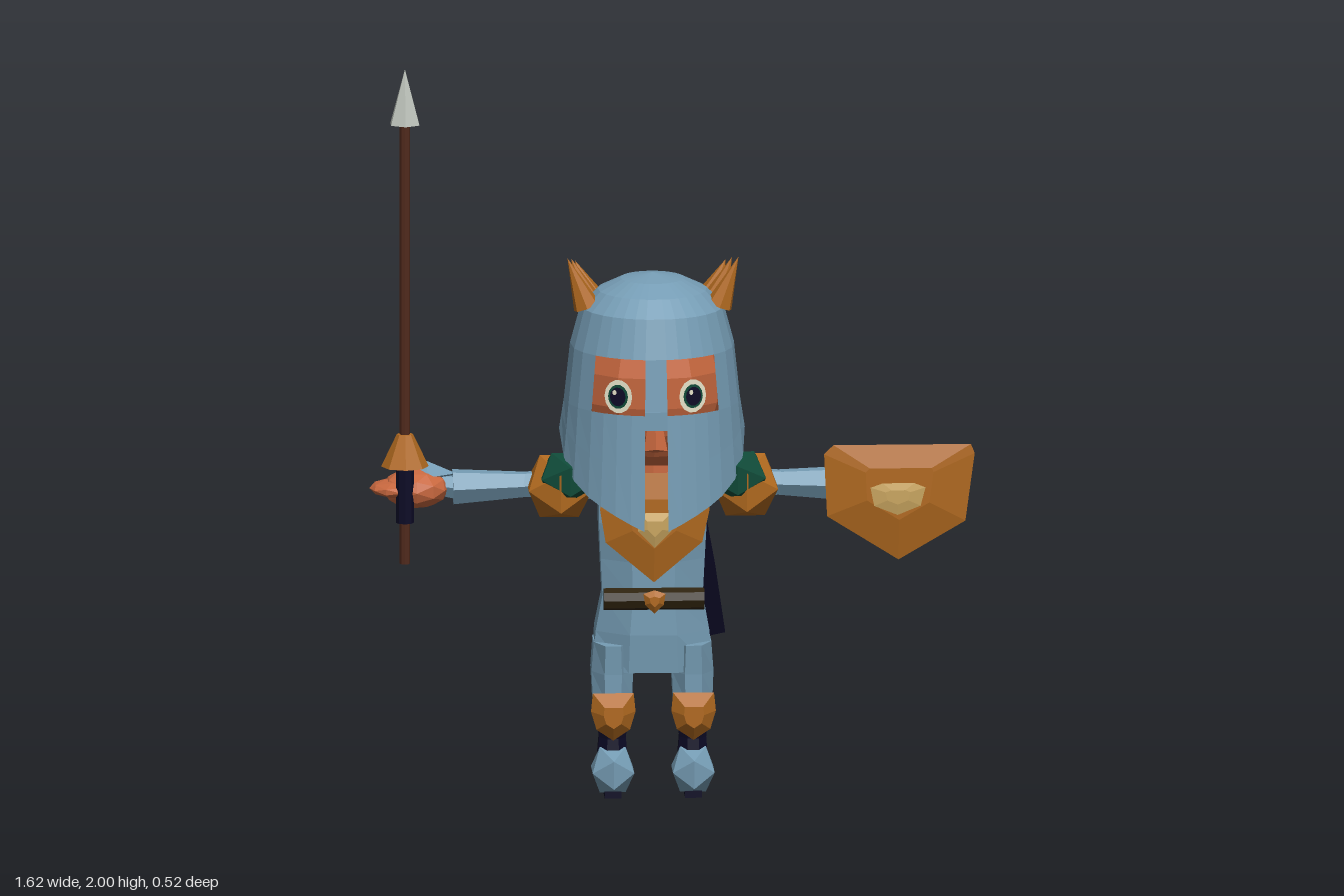
import * as THREE from 'three';

const mat = (name, color) => {
  const m = new THREE.MeshStandardMaterial({ color, flatShading: true, side: THREE.DoubleSide });
  m.name = name;
  return m;
};

export function createModel() {
  const steel = mat('steel blue', 0x769db5), bronze = mat('bronze', 0xb0691f), skin = mat('skin', 0xc8683f),
    green = mat('dark green', 0x0f4a38), navy = mat('navy', 0x0c0a26), wood = mat('wood', 0x50291c),
    leather = mat('leather', 0x2e220e), silver = mat('silver', 0xbcc2ba), tan = mat('tan', 0xcaa660),
    cream = mat('cream', 0xe9e6cc);
  const root = new THREE.Group();
  root.name = 'spearWarrior';
  const body = new THREE.Group();
  body.name = 'body';
  body.position.x = -0.055;
  root.add(body);
  const V = (x, y, z) => new THREE.Vector3(x, y, z);

  const add = (parent, name, geo, material, x = 0, y = 0, z = 0) => {
    const m = new THREE.Mesh(geo, material);
    m.name = name;
    m.position.set(x, y, z);
    parent.add(m);
    return m;
  };

  // Skins rows of points into a faceted surface
  const surface = (rows, closed, keep = () => true) => {
    const pts = [], n = rows[0].length;
    for (let j = 0; j < rows.length - 1; j++) {
      for (let i = 0; i < (closed ? n : n - 1); i++) {
        if (!keep(i, j)) continue;
        const k = (i + 1) % n;
        const a = rows[j][i], b = rows[j + 1][i], c = rows[j + 1][k], d = rows[j][k];
        if (!b.equals(c)) pts.push(a, b, c);
        if (!a.equals(d)) pts.push(a, c, d);
      }
    }
    const g = new THREE.BufferGeometry().setFromPoints(pts);
    g.computeVertexNormals();
    return g;
  };

  // Vertical loft from sections [y, centre z, half width, half depth]
  const loft = (sections, sides = 8) => {
    const s = 1 / Math.cos(Math.PI / sides);
    const ring = ([y, cz, rx, rz]) => Array.from({ length: sides }, (_, i) => {
      const a = (i + 0.5) * 2 * Math.PI / sides;
      return V(Math.sin(a) * rx * s, y, cz + Math.cos(a) * rz * s);
    });
    const top = sections[0], end = sections[sections.length - 1];
    return surface([[top[0], top[1], 0, 0], ...sections, [end[0], end[1], 0, 0]].map(ring), true);
  };

  // Thin plate bulging forward from an anticlockwise outline
  const plate = (outline, z, bulge) => {
    const c = outline.reduce((s, p) => [s[0] + p[0] / outline.length, s[1] + p[1] / outline.length], [0, 0]);
    const ring = (k, h) => outline.map(([x, y]) => V(c[0] + (x - c[0]) * k, c[1] + (y - c[1]) * k, z + h));
    return surface([ring(0, bulge), ring(0.45, bulge), ring(1, 0), ring(0, 0)], true);
  };

  // Tapered rod between two points
  const rod = (parent, name, a, b, ra, rb, material, sides = 6) => {
    const d = b.clone().sub(a);
    const m = add(parent, name, new THREE.CylinderGeometry(rb, ra, d.length(), sides), material);
    m.position.copy(a).addScaledVector(d, 0.5);
    m.quaternion.setFromUnitVectors(V(0, 1, 0), d.normalize());
    return m;
  };

  const blob = (parent, name, material, pos, size, detail = 0) => {
    const m = add(parent, name, new THREE.IcosahedronGeometry(1, detail), material, ...pos);
    m.scale.set(...size);
    return m;
  };

  // Helmet: rings down to a rim that dips at the cheeks, open at the eyes and mouth
  const half = [7.3, 16, 26, 36, 46, 60, 74, 95, 113, 130, 147, 163];
  const angles = [...half.map(a => -a).reverse(), ...half, 180];
  const rimPoints = [[0, 0.75], [7.3, 0.77], [57, 0.875], [74, 0.94], [95, 1.0], [120, 1.0], [150, 1.015], [180, 1.03]];
  const rim = a => {
    const k = Math.max(1, rimPoints.findIndex(p => p[0] >= a));
    const [p, q] = [rimPoints[k - 1], rimPoints[k]];
    return p[1] + (q[1] - p[1]) * (a - p[0]) / (q[0] - p[0]);
  };
  const levels = [[1.43, 0], [1.415, 0.09], [1.385, 0.155], [1.34, 0.203], [1.235, 0.233], [1.085, 0.25]];
  const at = (a, y, r) => V(Math.sin(a * Math.PI / 180) * r * 0.95, y, Math.cos(a * Math.PI / 180) * r - 0.005);
  const rows = levels.map(([y, r]) => angles.map(a => at(a, y, r)));
  for (const t of [0.5, 1]) {
    rows.push(angles.map(a => {
      const end = Math.abs(a) < 100 ? 0.264 : 0.264 - (Math.abs(a) - 100) / 80 * 0.055;
      return at(a, 1.085 + (rim(Math.abs(a)) - 1.085) * t, 0.25 + (end - 0.25) * t);
    }));
  }
  const mid = half.length - 1;
  add(body, 'helmet', surface(rows, true, (i, j) => {
    const off = Math.abs(i - mid);
    return !(j === 4 && off >= 1 && off <= 4) && !(j > 4 && off === 0);
  }), steel);
  add(body, 'noseGuard', new THREE.BoxGeometry(0.06, 0.05, 0.012), steel, 0, 1.07, 0.24);

  // Head, face and neck
  const head = add(body, 'head', new THREE.SphereGeometry(1, 12, 9), skin, 0, 1.13, -0.01);
  head.scale.set(0.2, 0.24, 0.19);
  add(body, 'neck', new THREE.CylinderGeometry(0.075, 0.085, 0.14, 8), skin, 0, 0.9, -0.01);
  rod(body, 'nose', V(0, 1.07, 0.17), V(0, 0.98, 0.2), 0.015, 0.032, skin, 4);

  // Torso
  add(body, 'torso', loft([[0.9, -0.01, 0.09, 0.06], [0.84, -0.01, 0.145, 0.09], [0.75, -0.01, 0.145, 0.1],
    [0.65, -0.02, 0.14, 0.1], [0.55, -0.022, 0.135, 0.1], [0.45, -0.04, 0.153, 0.12], [0.345, -0.03, 0.16, 0.1]]), steel);
  add(body, 'breastplate', plate([[-0.13, 0.9], [-0.145, 0.8], [-0.13, 0.71], [0, 0.6], [0.13, 0.71], [0.15, 0.8], [0.13, 0.9]], 0.1, 0.02), bronze);
  add(body, 'chestEmblem', plate([[-0.045, 0.8], [-0.045, 0.75], [0, 0.705], [0.045, 0.75], [0.045, 0.8]], 0.15, 0.008), tan);
  rod(body, 'belt', V(-0.135, 0.555, 0.1), V(0.135, 0.555, 0.1), 0.03, 0.03, leather, 8);
  add(body, 'buckle', plate([[-0.03, 0.575], [-0.025, 0.545], [0, 0.52], [0.025, 0.545], [0.03, 0.575], [0, 0.585]], 0.132, 0.012), bronze);

  // Cape hanging off to one side
  add(body, 'cape', surface([
    [V(0.14, 0.79, -0.1), V(0.03, 0.79, -0.12)],
    [V(0.175, 0.6, -0.145), V(0.035, 0.58, -0.19)],
    [V(0.205, 0.4, -0.2), V(0.035, 0.35, -0.265)],
  ], false), navy);

  // Mirrored parts
  for (const s of [-1, 1]) {
    const side = s < 0 ? 'right' : 'left';
    const g = new THREE.Group();
    g.name = side + 'Side';
    body.add(g);

    const eye = new THREE.Group();
    eye.name = side + 'Eye';
    eye.position.set(s * 0.1, 1.13, 0.195);
    eye.rotation.y = s * 0.35;
    g.add(eye);
    const disc = (name, r, m, x, y, z) => add(eye, name, new THREE.CircleGeometry(r, 14), m, x, y, z).scale.set(0.85, 1, 1);
    disc('eyeWhite', 0.046, cream, 0, 0, 0);
    disc('iris', 0.033, green, 0, 0, 0.003);
    disc('pupil', 0.026, navy, 0, 0, 0.006);
    disc('eyeGlint', 0.007, cream, -0.008, 0.012, 0.009);

    // Helmet spikes
    [[0.035, 1.478], [-0.045, 1.46], [-0.12, 1.438]].forEach(([z, top], i) => {
      rod(g, 'helmetSpike', V(s * (0.178 - i * 0.006), 1.345, z), V(s * (0.23 - i * 0.014), top, z * 1.04), 0.037, 0, bronze, 7);
    });

    // Shoulder and arm
    blob(g, 'shoulderGuard', bronze, [s * 0.25, 0.845, -0.005], [0.1, 0.1, 0.135]);
    blob(g, 'shoulderCloth', green, [s * 0.225, 0.88, 0.035], [0.09, 0.075, 0.1]);
    rod(g, 'upperArm', V(s * 0.12, 0.85, -0.025), V(s * 0.345, 0.845, -0.032), 0.05, 0.036, steel);
    rod(g, 'forearm', V(s * 0.34, 0.845, -0.032), V(s * 0.535, 0.84, -0.033), 0.036, 0.05, steel);
    rod(g, 'wrist', V(s * 0.53, 0.84, -0.035), V(s * 0.6, 0.845, -0.04), 0.035, 0.025, steel);
    blob(g, 'palm', skin, [s * 0.635, 0.838, -0.03], [0.09, 0.055, 0.08], 1);
    blob(g, 'fingers', skin, [s * 0.675, 0.84, -0.025], [0.085, 0.025, 0.08], 1);
    const guard = add(g, 'handGuard', new THREE.OctahedronGeometry(1), steel, s * 0.605, 0.875, -0.04);
    guard.scale.set(0.08, 0.035, 0.055);

    // Leg, knee guard, ankle band and foot
    const leg = new THREE.Group();
    leg.name = side + 'Leg';
    leg.position.x = s * 0.108;
    g.add(leg);
    add(leg, 'trouserLeg', loft([[0.42, -0.035, 0.05, 0.11], [0.34, -0.03, 0.056, 0.098], [0.27, -0.012, 0.053, 0.078],
      [0.19, 0, 0.043, 0.056]]), steel);
    add(leg, 'kneeGuard', plate([[-0.055, 0.29], [-0.06, 0.24], [-0.045, 0.19], [0, 0.16], [0.045, 0.19], [0.06, 0.24], [0.055, 0.29]], 0.067, 0.03), bronze);
    add(leg, 'ankleBand', loft([[0.2, 0, 0.04, 0.053], [0.16, 0, 0.036, 0.048], [0.11, 0, 0.04, 0.053]]), navy);
    blob(leg, 'foot', steel, [0, 0.073, 0.03], [0.066, 0.073, 0.1]);
    add(leg, 'sole', new THREE.BoxGeometry(0.045, 0.025, 0.09), navy, 0, 0.0125, 0.015);
  }

  // Spear in the right hand
  const spear = new THREE.Group();
  spear.name = 'spear';
  spear.position.set(-0.722, 0, 0.038);
  root.add(spear);
  const turned = (name, r0, r1, y0, y1, m, n) => rod(spear, name, V(0, y0, 0), V(0, y1, 0), r0, r1, m, n);
  turned('shaft', 0.014, 0.014, 0.645, 1.86, wood, 8);
  turned('spearhead', 0.044, 0, 1.85, 2, silver, 6);
  turned('handCone', 0.064, 0.022, 0.912, 1.0, bronze, 8);
  turned('grip', 0.024, 0.024, 0.757, 0.915, navy, 8);

  // Shield on the left hand
  const shield = new THREE.Group();
  shield.name = 'shield';
  root.add(shield);
  add(shield, 'shieldPlate', plate([[0.43, 0.96], [0.405, 0.935], [0.413, 0.765], [0.605, 0.645], [0.785, 0.75], [0.81, 0.935], [0.8, 0.96]], 0.042, 0.022), bronze);
  add(shield, 'shieldEmblem', plate([[0.56, 0.867], [0.527, 0.855], [0.537, 0.805], [0.6, 0.78], [0.662, 0.805], [0.675, 0.855], [0.645, 0.867]], 0.105, 0.005), tan);

  return root;
}
